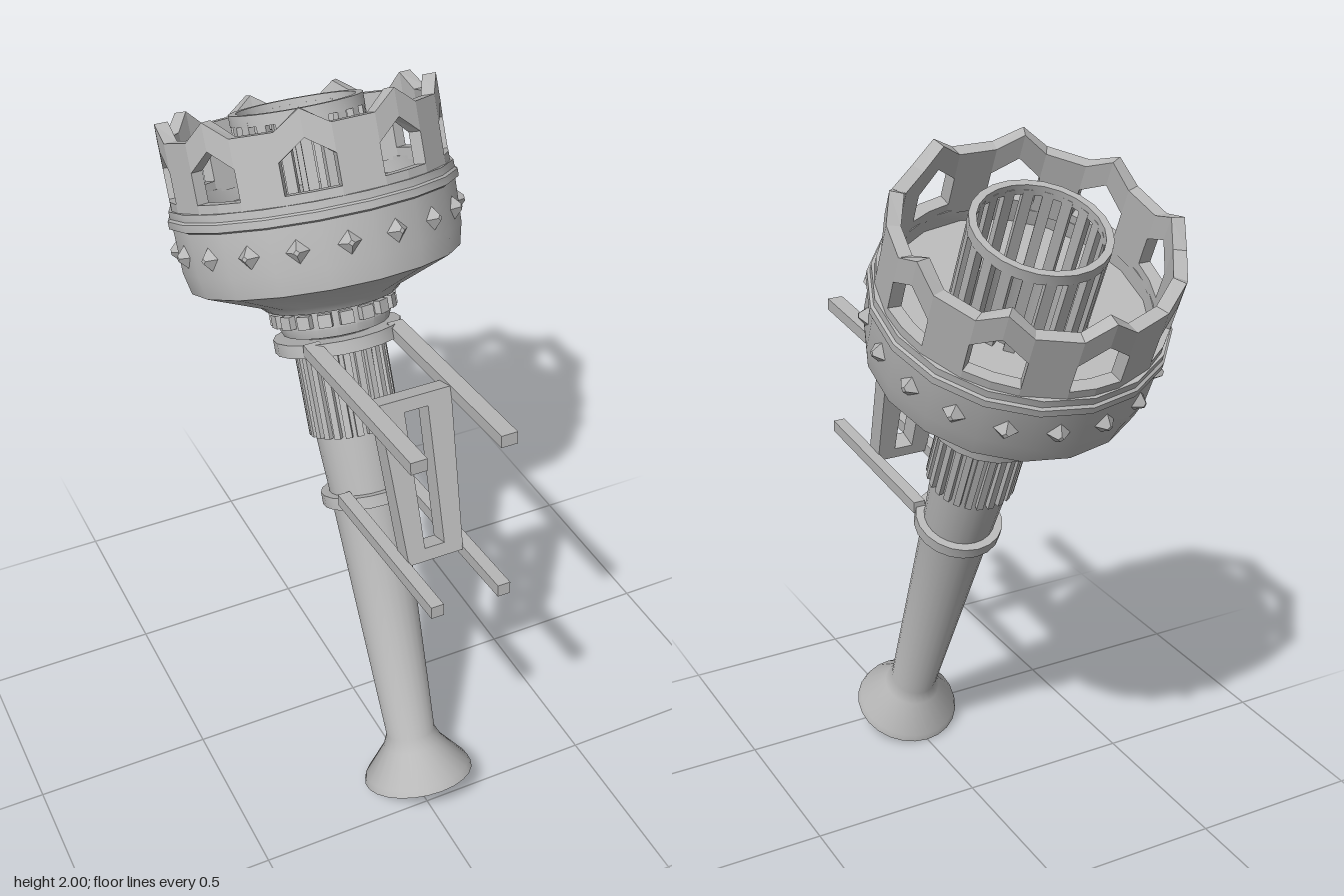
import * as THREE from 'three';
import { mergeGeometries, toCreasedNormals } from 'three/addons/utils/BufferGeometryUtils.js';

const DEG = Math.PI / 180;
const TILT = -24 * DEG;

export function createModel() {
  const model = new THREE.Group();
  model.name = 'wallTorch';
  const grey = new THREE.MeshStandardMaterial({ color: 0xb8b8b8 });
  grey.name = 'stoneGrey';

  // Everything on the torch axis lives in a tilted group standing on the foot
  const torch = new THREE.Group();
  torch.name = 'torch';
  torch.position.set(0, 0.068, 0.44);
  torch.rotation.x = TILT;
  model.add(torch);

  const add = (parent, name, geometry) => {
    const mesh = new THREE.Mesh(geometry, grey);
    mesh.name = name;
    parent.add(mesh);
    return mesh;
  };

  // Turned part from [radius, height] pairs, listed bottom to top on the outside
  const turned = (name, profile, sides, crease = 0.5) => {
    const points = profile.map(([r, y]) => new THREE.Vector2(r, y));
    return add(torch, name, toCreasedNormals(new THREE.LatheGeometry(points, sides), crease));
  };

  // Merge copies of a geometry spread evenly round the axis
  const around = (name, count, geometry, radius, y, offset = 0) => {
    const copies = [];
    for (let i = 0; i < count; i++) {
      copies.push(geometry.clone().translate(0, y, radius).rotateY(offset + (i * 2 * Math.PI) / count));
    }
    return add(torch, name, mergeGeometries(copies));
  };

  // Shaft with flared foot
  turned('shaft', [[0, 0], [0.157, 0], [0.15, 0.02], [0.085, 0.1], [0.07, 0.135],
    [0.1, 0.87], [0.11, 1.06], [0.115, 1.36], [0, 1.36]], 24, 0.6);

  // Ribbed grip
  around('gripRibs', 24, new THREE.BoxGeometry(0.018, 0.25, 0.03), 0.11, 1.185);

  // Bracket rings
  turned('lowerRing', [[0.09, 0.856], [0.125, 0.856], [0.125, 0.89], [0.09, 0.89]], 20);
  turned('upperRing', [[0.11, 1.3], [0.175, 1.3], [0.175, 1.336], [0.11, 1.336]], 20);

  // Neck with a row of teeth
  turned('neck', [[0.11, 1.336], [0.145, 1.345], [0.155, 1.37], [0.155, 1.43]], 18);
  around('neckTeeth', 18, new THREE.BoxGeometry(0.036, 0.035, 0.03), 0.158, 1.395, 10 * DEG);

  // Bowl: outer wall, ledge, inner floor and the well in the middle
  turned('bowl', [[0.15, 1.415], [0.18, 1.42], [0.2, 1.44], [0.365, 1.51], [0.378, 1.57],
    [0.38, 1.685], [0.39, 1.69], [0.39, 1.71], [0.383, 1.715], [0.383, 1.735], [0.34, 1.735],
    [0.34, 1.69], [0.155, 1.69], [0.155, 1.42], [0, 1.42]], 18, 0.45);

  // Faceted studs round the bowl
  const stud = new THREE.CylinderGeometry(0.008, 0.036, 0.028, 4, 1).toNonIndexed();
  stud.computeVertexNormals();
  stud.rotateX(Math.PI / 2);
  around('studs', 18, stud, 0.382, 1.62, 10 * DEG);

  // Crown: nine gabled windows between flat-topped pillars
  add(torch, 'crown', crownGeometry());

  // Inner cage
  around('cageBars', 20, new THREE.BoxGeometry(0.028, 0.25, 0.02), 0.168, 1.805);
  turned('cageRing', [[0.16, 1.915], [0.18, 1.915], [0.18, 1.945], [0.16, 1.945], [0.16, 1.915]], 24);

  // Wall bracket: two pairs of arms
  const bracket = new THREE.Group();
  bracket.name = 'bracket';
  model.add(bracket);
  const arm = (name, x, width, y0, z0, y1, z1) => {
    const length = Math.hypot(y1 - y0, z1 - z0);
    for (const side of [-1, 1]) {
      const mesh = add(bracket, name, new THREE.BoxGeometry(width, 0.034, length));
      mesh.position.set(side * x, (y0 + y1) / 2, (z0 + z1) / 2);
      mesh.rotation.x = -Math.atan2(y1 - y0, z1 - z0);
    }
  };
  arm('upperArm', 0.122, 0.045, 1.322, 0.0, 1.372, 0.618);
  arm('lowerArm', 0.094, 0.035, 0.908, 0.14, 0.953, 0.685);

  // Slotted plate joining the arms
  const L = 0.445;
  const plate = new THREE.Shape([[-0.078, 0], [0.078, 0], [0.102, L], [-0.102, L]]
    .map(([x, y]) => new THREE.Vector2(x, y)));
  plate.holes.push(new THREE.Path([[-0.028, 0.035], [-0.033, L - 0.035], [0.033, L - 0.035], [0.028, 0.035]]
    .map(([x, y]) => new THREE.Vector2(x, y))));
  const plateGeometry = new THREE.ExtrudeGeometry(plate, { depth: 0.06, bevelEnabled: false });
  plateGeometry.translate(0, 0, -0.03);
  const plateMesh = add(bracket, 'slottedPlate', plateGeometry);
  plateMesh.position.set(0, 0.935, 0.47);
  plateMesh.rotation.x = -Math.atan2(0.143, 0.42);

  return model;
}

// Wall blocks between two angles, each with its own bottom and top heights
function crownGeometry() {
  const positions = [];
  const inner = 0.338, outer = 0.374;
  const block = (a0, a1, b0, b1, t0, t1) => {
    const p = (a, r, y) => [r * Math.sin(a * DEG), y, r * Math.cos(a * DEG)];
    const quad = (a, b, c, d) => positions.push(...a, ...b, ...c, ...a, ...c, ...d);
    const o = [p(a0, outer, b0), p(a1, outer, b1), p(a1, outer, t1), p(a0, outer, t0)];
    const n = [p(a0, inner, b0), p(a1, inner, b1), p(a1, inner, t1), p(a0, inner, t0)];
    quad(o[0], o[1], o[2], o[3]);
    quad(n[1], n[0], n[3], n[2]);
    for (let i = 0; i < 4; i++) {
      const j = (i + 1) % 4;
      quad(o[j], o[i], n[i], n[j]);
    }
  };
  const base = 1.725, sill = 1.758, shoulder = 1.84, apex = 1.89, valley = 1.915, peak = 1.962;
  for (let k = 0; k < 9; k++) {
    const c = 180 + k * 40;
    block(c - 11, c, base, base, sill, sill);
    block(c, c + 11, base, base, sill, sill);
    block(c - 11, c, shoulder, apex, valley, peak);
    block(c, c + 11, apex, shoulder, peak, valley);
    block(c + 11, c + 29, base, base, valley, valley);
  }
  const geometry = new THREE.BufferGeometry();
  geometry.setAttribute('position', new THREE.Float32BufferAttribute(positions, 3));
  geometry.computeVertexNormals();
  return geometry;
}
